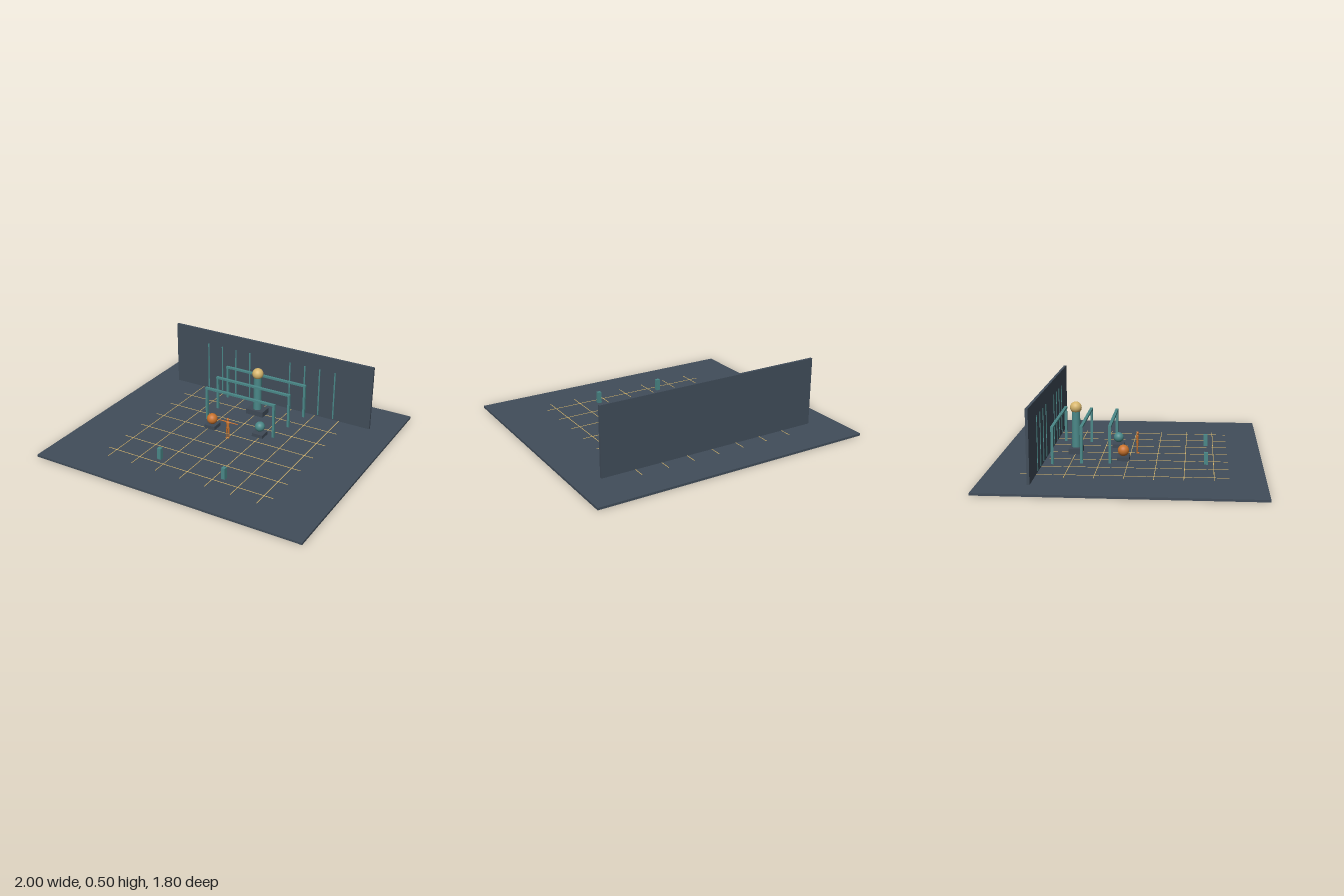
import * as THREE from 'three';

export function createModel() {
  const model = new THREE.Group();
  const mat = (name, color) => Object.assign(new THREE.MeshStandardMaterial({ color }), { name });
  const slate = mat('slate', 0x414d5a);
  const stone = mat('stone', 0x3f4a56);
  const teal = mat('teal', 0x4a8888);
  const orange = mat('orange', 0xc8722c);
  const gold = mat('gold', 0xd6b56c);
  const FLOOR = 0.015;

  const add = (name, geo, material, x, y, z, parent = model) => {
    const mesh = new THREE.Mesh(geo, material);
    mesh.name = name;
    mesh.position.set(x, y, z);
    parent.add(mesh);
    return mesh;
  };
  // box standing on height y
  const box = (name, w, h, d, material, x, y, z, parent) =>
    add(name, new THREE.BoxGeometry(w, h, d), material, x, y + h / 2, z, parent);
  const ball = (name, r, material, x, y, z, parent) =>
    add(name, new THREE.SphereGeometry(r, 24, 16), material, x, y, z, parent);

  // Floor and back wall
  box('floor', 2, FLOOR, 1.8, slate, 0, 0, 0);
  box('backWall', 1.62, 0.48, 0.018, slate, 0, FLOOR, -0.575);

  // Slim strips on the wall
  for (const x of [0.167, 0.287, 0.405, 0.525])
    for (const s of [-1, 1]) box('wallStrip', 0.01, 0.365, 0.005, teal, s * x, 0.025, -0.5645);

  // Floor grid lines
  for (let i = -3; i <= 3; i++) {
    box('gridLineLong', 0.004, 0.002, 1.34, gold, i * 0.191, FLOOR, 0);
    box('gridLineCross', 1.28, 0.002, 0.004, gold, 0, FLOOR, i * 0.191);
  }

  // Three gateways, widening toward the wall
  for (const [half, z] of [[0.28, -0.121], [0.302, -0.309], [0.33, -0.502]]) {
    const gate = new THREE.Group();
    gate.name = 'gateway';
    for (const s of [-1, 1]) box('gatePost', 0.016, 0.245, 0.018, teal, s * (half - 0.009), FLOOR, z, gate);
    box('gateBeam', half * 2, 0.014, 0.02, teal, 0, 0.258, z, gate);
    model.add(gate);
  }

  // Column with golden globe
  box('columnBase', 0.136, 0.04, 0.092, stone, 0, FLOOR, -0.383);
  add('column', new THREE.CylinderGeometry(0.029, 0.031, 0.265, 24), teal, 0, 0.1875, -0.383);
  ball('goldenGlobe', 0.041, gold, 0, 0.336, -0.383);

  // Balls on pedestals
  box('leftPedestal', 0.083, 0.027, 0.083, stone, -0.178, FLOOR, -0.037);
  ball('orangeBall', 0.039, orange, -0.178, 0.081, -0.037);
  box('rightPedestal', 0.083, 0.025, 0.083, stone, 0.175, FLOOR, -0.1);
  ball('tealBall', 0.036, teal, 0.175, 0.084, -0.1);

  // Front marker posts
  for (const s of [-1, 1]) box('markerPost', 0.028, 0.082, 0.028, teal, s * 0.25, FLOOR, 0.522);

  // Standing figure with arms held out
  const figure = new THREE.Group();
  figure.name = 'figure';
  figure.position.set(0, FLOOR, 0.046);
  model.add(figure);
  const limb = (name, a, b, r0, r1) => {
    const from = new THREE.Vector3(...a), to = new THREE.Vector3(...b);
    const dir = to.clone().sub(from);
    const mesh = add(name, new THREE.CylinderGeometry(r1, r0, dir.length(), 10), orange, 0, 0, 0, figure);
    mesh.position.copy(from).addScaledVector(dir, 0.5);
    mesh.quaternion.setFromUnitVectors(new THREE.Vector3(0, 1, 0), dir.normalize());
  };
  const torso = [[0, 0.07], [0.011, 0.071], [0.013, 0.08], [0.009, 0.096], [0.014, 0.118], [0.012, 0.128], [0.004, 0.132], [0.004, 0.14]];
  add('torso', new THREE.LatheGeometry(torso.map(p => new THREE.Vector2(...p)), 14), orange, 0, 0, 0, figure).scale.z = 0.7;
  ball('head', 0.009, orange, 0, 0.145, 0.001, figure).scale.y = 1.2;
  for (const s of [-1, 1]) {
    limb('upperArm', [s * 0.01, 0.125, 0], [s * 0.042, 0.125, 0], 0.005, 0.004);
    limb('forearm', [s * 0.042, 0.125, 0], [s * 0.07, 0.125, 0], 0.004, 0.003);
    ball('hand', 0.004, orange, s * 0.074, 0.125, 0, figure).scale.x = 1.6;
    limb('thigh', [s * 0.007, 0.076, 0], [s * 0.008, 0.04, 0], 0.007, 0.005);
    limb('shin', [s * 0.008, 0.04, 0], [s * 0.008, 0.003, -0.002], 0.005, 0.003);
    box('foot', 0.007, 0.005, 0.019, orange, s * 0.008, 0, 0.004, figure);
  }
  return model;
}
